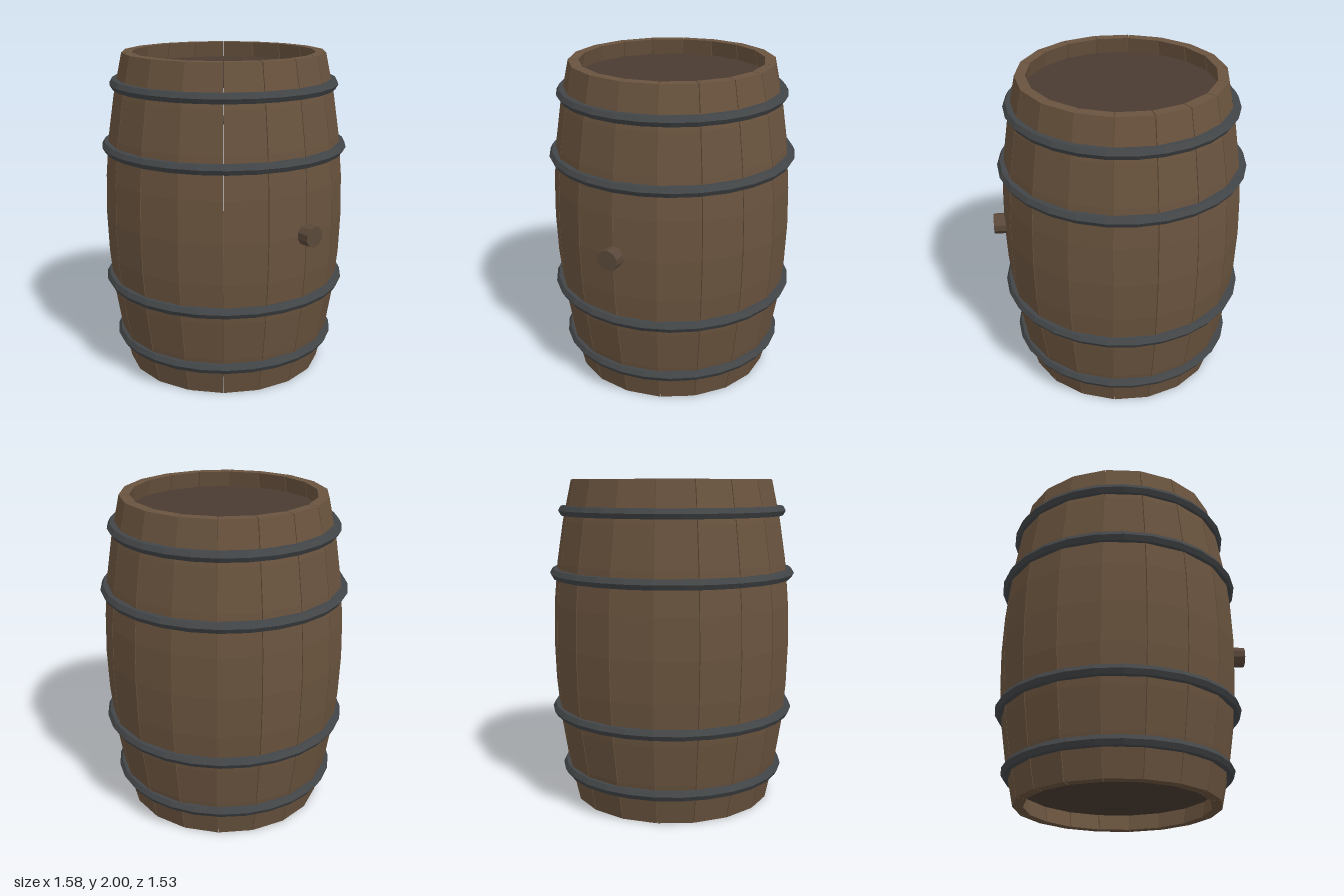
import * as THREE from 'three';

const STAVES = 18, SECTIONS = 8, HEIGHT = 2, THICK = 0.063;
const wood = new THREE.MeshStandardMaterial({ color: 0x69533e, flatShading: true });
const headWood = new THREE.MeshStandardMaterial({ color: 0x4a3b32, flatShading: true });
const bungWood = new THREE.MeshStandardMaterial({ color: 0x5a483a, flatShading: true });
const iron = new THREE.MeshStandardMaterial({ color: 0x434648, flatShading: true });

// outer radius of the barrel at height y
const bulge = (y) => 0.75 - 0.125 * (y - 1) ** 2;

// one bowed plank: a four-cornered section swept up the bulge and capped
function staveGeometry(a0, a1) {
  const pos = [], index = [];
  for (let i = 0; i <= SECTIONS; i++) {
    const y = (i / SECTIONS) * HEIGHT, r = bulge(y);
    for (const [rad, a] of [[r, a0], [r, a1], [r - THICK, a1], [r - THICK, a0]]) {
      pos.push(rad * Math.sin(a), y, rad * Math.cos(a));
    }
  }
  for (let i = 0; i < SECTIONS; i++) {
    for (let k = 0; k < 4; k++) {
      const a = i * 4 + k, b = i * 4 + (k + 1) % 4;
      index.push(a, b, b + 4, a, b + 4, a + 4);
    }
  }
  const t = SECTIONS * 4;
  index.push(0, 2, 1, 0, 3, 2, t, t + 1, t + 2, t, t + 2, t + 3);
  const g = new THREE.BufferGeometry();
  g.setAttribute('position', new THREE.Float32BufferAttribute(pos, 3));
  g.setIndex(index);
  g.computeVertexNormals();
  return g;
}

export function createModel() {
  const group = new THREE.Group();
  group.name = 'barrel';
  const add = (name, geometry, material, x, y, z) => {
    const mesh = new THREE.Mesh(geometry, material);
    mesh.name = name;
    mesh.position.set(x, y, z);
    group.add(mesh);
    return mesh;
  };
  const cx = -0.025; // the bung sticks out on +x, so the body sits slightly to -x

  // staves, with narrow gaps between them
  const step = (Math.PI * 2) / STAVES, gap = 0.0035;
  for (let i = 0; i < STAVES; i++) {
    const a = i * step;
    add('stave', staveGeometry(a - step / 2 + gap, a + step / 2 - gap), wood, cx, 0, 0);
  }

  // recessed heads
  for (const [name, y] of [['topHead', 1.88], ['bottomHead', 0.12]]) {
    add(name, new THREE.CylinderGeometry(0.605, 0.605, 0.04, 36), headWood, cx, y, 0);
  }

  // iron hoops
  for (const y of [0.193, 0.575, 1.43, 1.812]) {
    const hoop = add('hoop', new THREE.TorusGeometry(bulge(y) + 0.004, 0.034, 6, 28), iron, cx, y, 0);
    hoop.rotation.x = Math.PI / 2;
  }

  // bung plugged into the left side
  const bung = add('bung', new THREE.CylinderGeometry(0.065, 0.065, 0.12, 10), bungWood, 0.73, 1.005, 0);
  bung.rotation.set(0, Math.PI / 2, Math.PI / 2, 'ZYX');

  return group;
}
